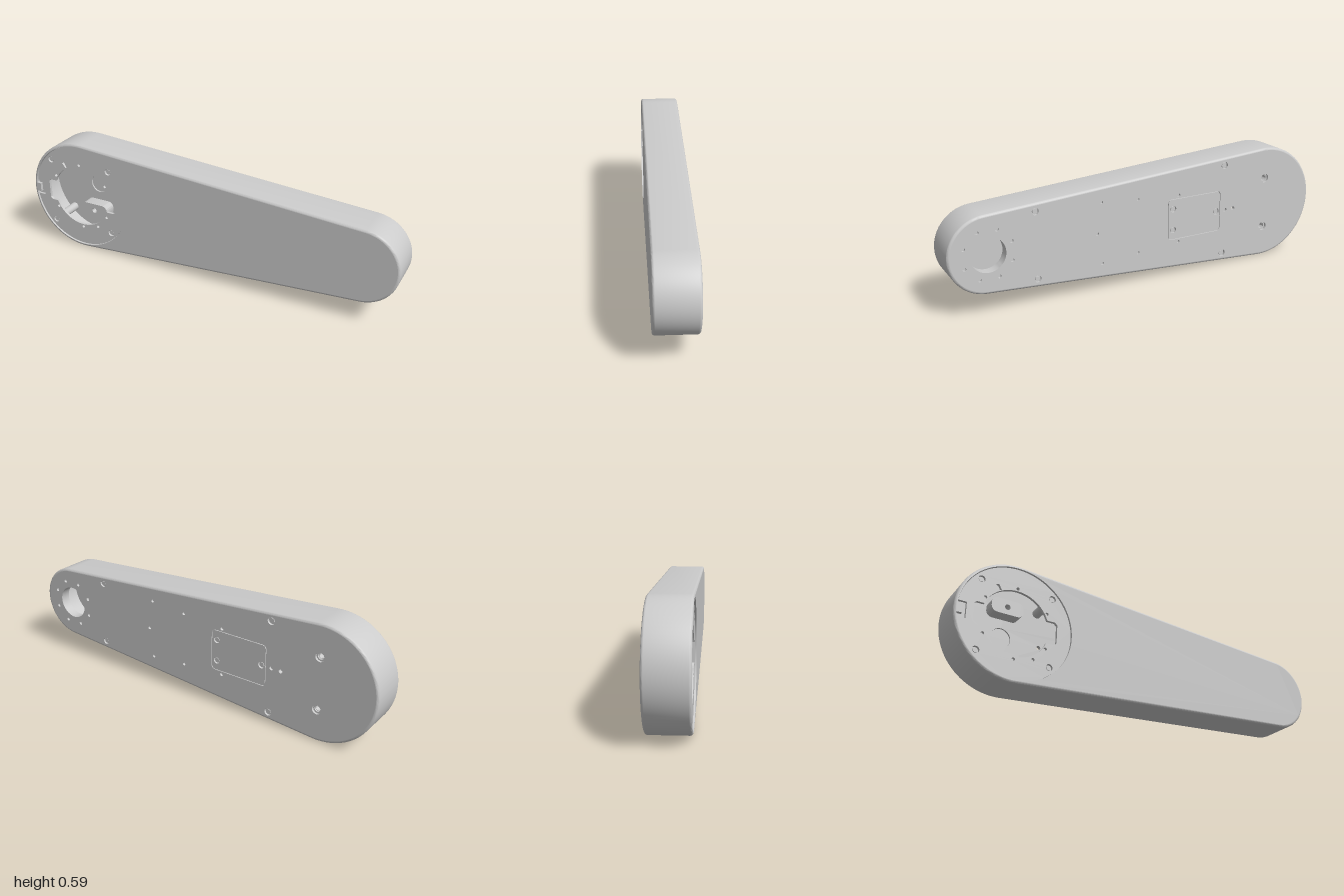
import * as THREE from 'three';
import { toCreasedNormals } from 'three/addons/utils/BufferGeometryUtils.js';

const BIG = { x: -0.706, r: 0.294 }, SMALL = { x: 0.811, r: 0.189 };
const CY = 0.295, H = 0.1, BEVEL = 0.012;
const PHI = Math.acos((BIG.r - SMALL.r) / (SMALL.x - BIG.x));
const material = new THREE.MeshStandardMaterial({ color: 0xcccccc, side: THREE.DoubleSide });

// Tapered outline with two round ends, moved inwards by inset
function outline(inset, n = 48) {
  const pts = [];
  const arc = (c, from, to) => {
    for (let i = 0; i <= n; i++) {
      const a = from + (to - from) * i / n;
      pts.push(new THREE.Vector2(c.x + (c.r - inset) * Math.cos(a), (c.r - inset) * Math.sin(a)));
    }
  };
  arc(SMALL, -PHI, PHI);
  arc(BIG, PHI, 2 * Math.PI - PHI);
  return pts;
}

// Wall lofted through [inset, z] rows
function loft(rows) {
  const pos = [], index = [];
  const loops = rows.map(([inset]) => outline(inset));
  const n = loops[0].length;
  loops.forEach((loop, j) => loop.forEach((p) => pos.push(p.x, p.y, rows[j][1])));
  for (let j = 0; j < rows.length - 1; j++) {
    for (let i = 0; i < n; i++) {
      const a = j * n + i, b = j * n + (i + 1) % n;
      index.push(a, b, b + n, a, b + n, a + n);
    }
  }
  const g = new THREE.BufferGeometry();
  g.setAttribute('position', new THREE.Float32BufferAttribute(pos, 3));
  g.setIndex(index);
  return toCreasedNormals(g, 0.6);
}

const circle = (x, y, r) => new THREE.Path().absarc(x, y, r, 0, Math.PI * 2, false);

// Rounded rectangle centred on x, y with half sizes w, h
function roundRect(x, y, w, h, r) {
  const s = new THREE.Shape();
  s.absarc(x + w - r, y + h - r, r, 0, Math.PI / 2, false);
  s.absarc(x - w + r, y + h - r, r, Math.PI / 2, Math.PI, false);
  s.absarc(x - w + r, y - h + r, r, Math.PI, Math.PI * 1.5, false);
  s.absarc(x + w - r, y - h + r, r, Math.PI * 1.5, Math.PI * 2, false);
  s.closePath();
  return s;
}

function plate(shape, z0, z1, holes = [], segments = 24) {
  shape.holes.push(...holes);
  const g = new THREE.ExtrudeGeometry(shape, { depth: z1 - z0, bevelEnabled: false, curveSegments: segments });
  g.translate(0, 0, z0);
  return toCreasedNormals(g, 0.6);
}

export function createModel() {
  const group = new THREE.Group();
  const body = new THREE.Group();
  body.position.y = CY;
  group.add(body);
  const add = (name, geometry) => {
    const m = new THREE.Mesh(geometry, material);
    m.name = name;
    body.add(m);
    return m;
  };
  const cylinder = (name, x, y, r, z0, z1) => {
    const m = add(name, new THREE.CylinderGeometry(r, r, z1 - z0, 20));
    m.rotation.x = Math.PI / 2;
    m.position.set(x, y, (z0 + z1) / 2);
  };

  // Side wall with rounded rims, and its inner face
  const rim = [0, 1, 2, 3, 4].map((i) => {
    const a = i / 4 * Math.PI / 2;
    return [BEVEL * (1 - Math.cos(a)), H - BEVEL + BEVEL * Math.sin(a)];
  });
  add('outerWall', loft([...rim.map(([d, z]) => [d, -z]).reverse(), ...rim]));
  add('innerWall', loft([[0.02, 0.088], [0.02, -0.085]]));

  // Front face with a seat for the round cover
  add('frontFace', plate(new THREE.Shape(outline(BEVEL)), 0.088, H, [circle(BIG.x, 0, 0.28)], 64));

  // Back face holes: [x, y, radius, has screw]; y is mirrored when not zero
  const backHoles = [];
  const hole = (x, y, r, screw = false) => {
    for (const s of y ? [1, -1] : [1]) backHoles.push([x, y * s, r, screw]);
  };
  hole(0.58, 0.165, 0.017, true);
  hole(-0.45, 0.237, 0.019, true);
  hole(BIG.x, 0.133, 0.023);
  hole(0.246, 0.154, 0.008);
  hole(0.27, 0, 0.008);
  hole(0.05, 0.138, 0.008);
  hole(-0.18, 0.122, 0.009);
  hole(-0.46, 0, 0.01);
  hole(-0.51, 0, 0.01);
  for (let i = 0; i < 8; i++) {
    const a = (i + 0.5) * Math.PI / 4;
    backHoles.push([SMALL.x + 0.122 * Math.cos(a), 0.122 * Math.sin(a), 0.009, false]);
  }
  add('backFace', plate(new THREE.Shape(outline(BEVEL)), -H, -0.088, [
    ...backHoles.map(([x, y, r]) => circle(x, y, r)),
    circle(SMALL.x, 0, 0.085),
    roundRect(-0.275, 0, 0.155, 0.107, 0.02),
  ]));
  add('innerFloor', plate(new THREE.Shape(outline(0.015)), -0.088, -0.08, [
    circle(SMALL.x, 0, 0.085), circle(BIG.x, 0, 0.05), circle(-0.51, 0, 0.01),
    circle(BIG.x, 0.133, 0.016), circle(BIG.x, -0.133, 0.016),
  ]));

  // Access panel on the back with three screws
  const panelScrews = [[-0.15, 0.055], [-0.15, -0.055], [-0.405, 0]];
  add('backPanel', plate(roundRect(-0.275, 0, 0.152, 0.104, 0.018), -H, -0.088,
    panelScrews.map(([x, y]) => circle(x, y, 0.017))));
  panelScrews.forEach(([x, y]) => cylinder('panelScrew', x, y, 0.012, -0.097, -0.088));
  backHoles.filter((h) => h[3]).forEach(([x, y, r]) => cylinder('backScrew', x, y, r * 0.7, -0.096, -0.088));

  // Collar around the opening in the small end
  const collar = new THREE.Shape().absarc(SMALL.x, 0, 0.095, 0, Math.PI * 2, false);
  add('collar', plate(collar, -0.08, -0.05, [circle(SMALL.x, 0, 0.085)]));

  // Round cover with a notched rim and a keyed opening
  const cover = new THREE.Group();
  cover.name = 'roundCover';
  cover.position.x = BIG.x;
  body.add(cover);
  const addCover = (name, geometry) => {
    const m = new THREE.Mesh(geometry, material);
    m.name = name;
    cover.add(m);
    return m;
  };
  const n = Math.asin(0.04 / 0.278), k = Math.asin(0.058 / 0.165);
  const disc = new THREE.Shape();
  disc.absarc(0, 0, 0.278, -Math.PI + n, Math.PI - n, false);
  disc.lineTo(-0.235, 0.04);
  disc.lineTo(-0.235, -0.04);
  disc.closePath();
  const opening = new THREE.Path();
  opening.absarc(0, 0, 0.165, k, Math.PI - k, false);
  opening.lineTo(-0.19, 0.058);
  opening.lineTo(-0.2, 0.048);
  opening.lineTo(-0.2, -0.048);
  opening.lineTo(-0.19, -0.058);
  opening.absarc(0, 0, 0.165, Math.PI + k, 2 * Math.PI - k, false);
  opening.lineTo(0.195, -0.058);
  opening.lineTo(0.207, -0.046);
  opening.lineTo(0.207, 0.046);
  opening.lineTo(0.195, 0.058);
  opening.closePath();
  const slot = new THREE.Path([[-0.107, 0.17], [-0.093, 0.175], [-0.078, 0.148], [-0.088, 0.146]]
    .map(([x, y]) => new THREE.Vector2(x, y)));
  const coverHoles = [opening, slot, circle(0.094, -0.157, 0.008)];
  for (const sy of [1, -1]) {
    coverHoles.push(circle(0, 0.178 * sy, 0.008));
    for (const sx of [1, -1]) {
      coverHoles.push(circle(0.152 * sx, 0.09 * sy, 0.008), circle(0.176 * sx, 0.176 * sy, 0.017));
      cylinder('coverScrew', BIG.x + 0.176 * sx, 0.176 * sy, 0.012, 0.07, 0.087);
      cylinder('coverPost', BIG.x + 0.176 * sx, 0.176 * sy, 0.022, -0.08, 0.078);
    }
    // Raised mounting pads on the floor
    add('mountingPad', plate(roundRect(BIG.x, 0.133 * sy, 0.08, 0.038, 0.03), -0.08, -0.015,
      [circle(BIG.x, 0.133 * sy, 0.014)]));
  }
  addCover('coverDisc', plate(disc, 0.078, 0.092, coverHoles, 64));

  // Stepped latch in the rim notch
  addCover('latchBase', new THREE.BoxGeometry(0.036, 0.074, 0.04)).position.set(-0.258, 0, 0.064);
  addCover('latchTab', new THREE.BoxGeometry(0.026, 0.046, 0.02)).position.set(-0.268, 0, 0.09);

  return group;
}
